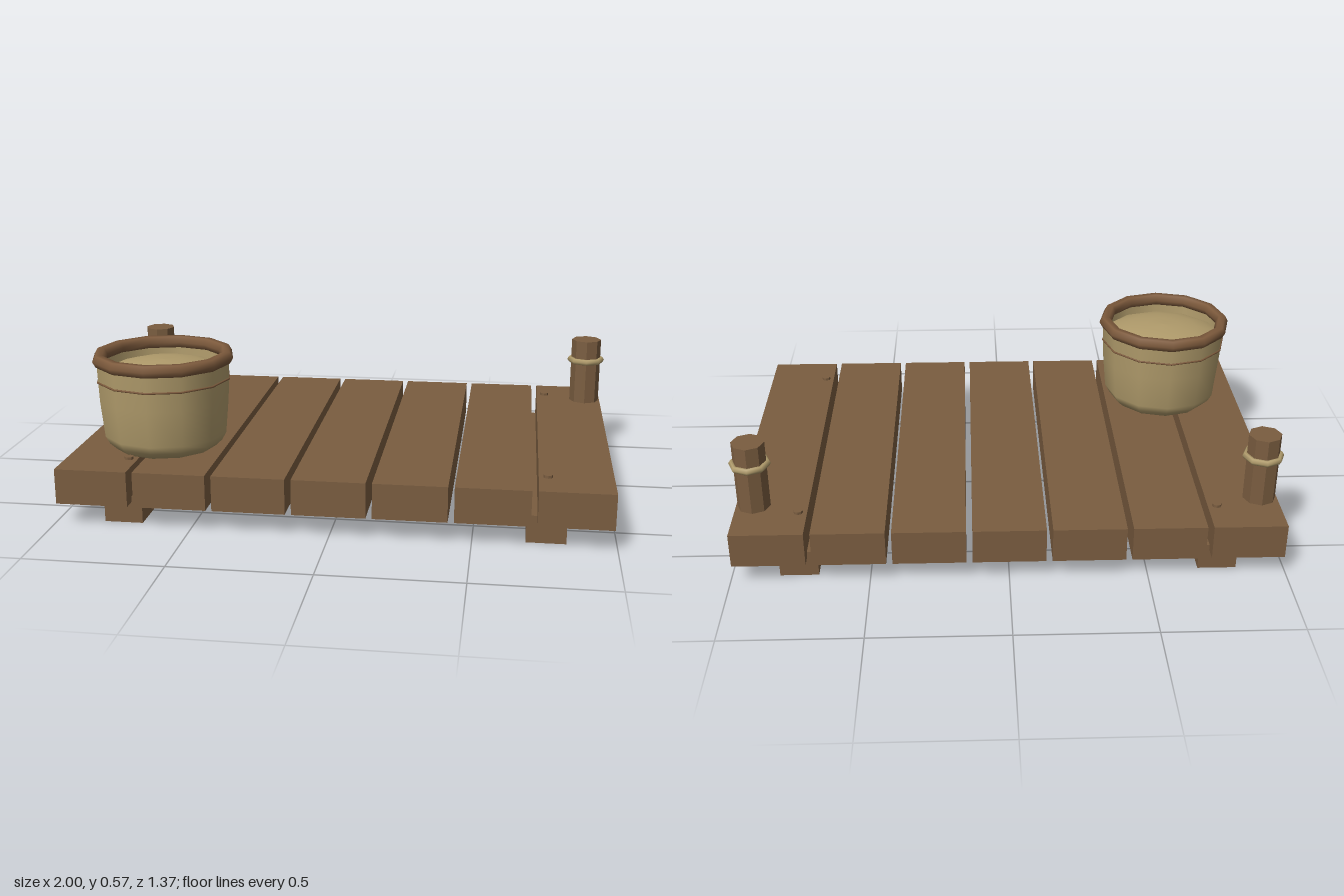
import * as THREE from 'three';

export function createModel() {
  const model = new THREE.Group();
  model.name = 'dock';

  const mat = (name, color, options = {}) =>
    new THREE.MeshStandardMaterial({ name, color, ...options });
  const wood = mat('wood', 0x7a5d40, { flatShading: true });
  const rimWood = mat('rimWood', 0x7d5a3c);
  const straw = mat('straw', 0xb09b6b, { side: THREE.DoubleSide });

  const add = (name, geometry, material, x, y, z, parent = model) => {
    const mesh = new THREE.Mesh(geometry, material);
    mesh.name = name;
    mesh.position.set(x, y, z);
    parent.add(mesh);
    return mesh;
  };
  // Horizontal ring
  const ring = (radius, tube, sides, segments) =>
    new THREE.TorusGeometry(radius, tube, sides, segments).rotateX(-Math.PI / 2);

  // Seven deck planks
  const plank = new THREE.BoxGeometry(0.263, 0.13, 1.37);
  for (let i = -3; i <= 3; i++) add('plank', plank, wood, i * 0.2853, 0.145, 0);

  for (const side of [-1, 1]) {
    // Runner under the deck
    add('runner', new THREE.BoxGeometry(0.14, 0.1, 1.26), wood, side * 0.757, 0.05, 0);

    // Mooring post with a rope ring
    const post = new THREE.Group();
    post.name = 'post';
    post.position.set(side * 0.922, 0, -0.485);
    model.add(post);
    add('postShaft', new THREE.CylinderGeometry(0.06, 0.06, 0.473, 8), wood, 0, 0.2365, 0, post);
    add('ropeRing', ring(0.063, 0.013, 6, 8), straw, 0, 0.387, 0, post);

    // Peg heads above the runner
    for (const z of [-0.54, 0.535]) {
      add('peg', new THREE.CylinderGeometry(0.017, 0.017, 0.02, 8), wood, side * 0.757, 0.21, z);
    }
  }

  // Basket
  const basket = new THREE.Group();
  basket.name = 'basket';
  basket.position.set(-0.67, 0.21, 0.338);
  model.add(basket);
  const lathe = (points) =>
    new THREE.LatheGeometry(points.map(([x, y]) => new THREE.Vector2(x, y)), 12);

  add('basketWall', lathe([
    [0, 0.001], [0.19, 0.001], [0.215, 0.025], [0.231, 0.055], [0.244, 0.19], [0.25, 0.345],
  ]), straw, 0, 0, 0, basket);
  add('basketFilling', lathe([
    [0.243, 0.28], [0.2, 0.3], [0.14, 0.317], [0.07, 0.327], [0, 0.33],
  ]), straw, 0, 0, 0, basket);
  add('basketRim', ring(0.24, 0.025, 6, 12), rimWood, 0, 0.342, 0, basket);
  add('basketBand', ring(0.248, 0.004, 6, 12), rimWood, 0, 0.263, 0, basket);

  return model;
}
